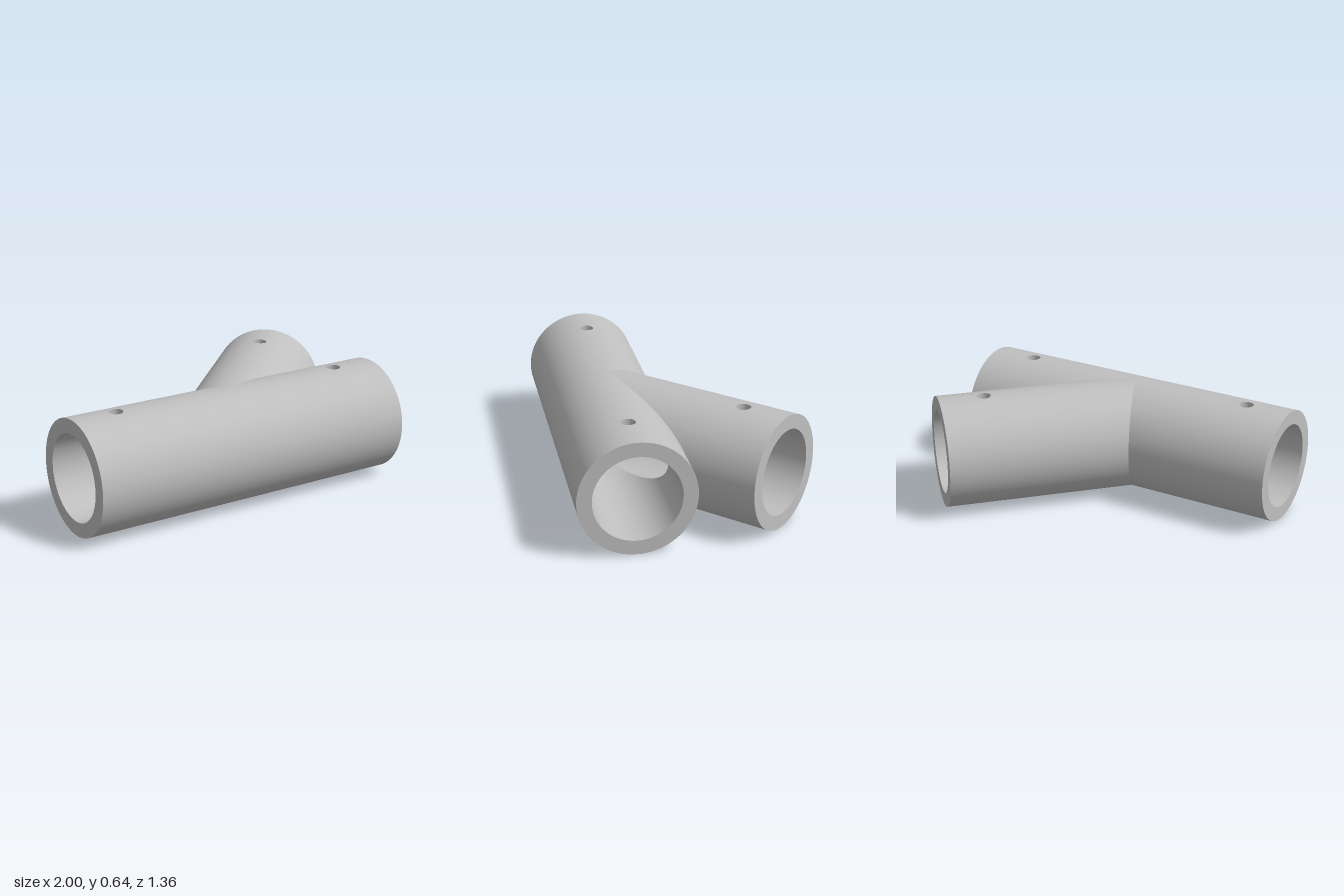
import * as THREE from 'three';

const R = 0.318, BORE = 0.238, HOLE = 0.04;      // outer, inner and screw-hole radii
const N = 128, STEP = 2 * Math.PI / N, PATCH = 4; // sides; half-width of the patch round a hole
const PAD = PATCH * STEP * R;
const OBTUSE = Math.tan(Math.PI / 8), ACUTE = 1 / OBTUSE; // mitre slopes for a 45 degree branch

// Collects triangles, turning each one to face along its given normals
class Surface {
  pos = [];
  nor = [];
  tri(...v) {
    const [a, b, c] = v.map((q) => q.p);
    const face = b.clone().sub(a).cross(c.clone().sub(a));
    if (face.lengthSq() < 1e-16) return;
    if (face.dot(v[0].n) + face.dot(v[1].n) + face.dot(v[2].n) < 0) v.reverse();
    for (const q of v) {
      this.pos.push(...q.p.toArray());
      this.nor.push(...q.n.toArray());
    }
  }
  quad(a, b, c, d) {
    this.tri(a, b, c);
    this.tri(a, c, d);
  }
  geometry() {
    const g = new THREE.BufferGeometry();
    g.setAttribute('position', new THREE.Float32BufferAttribute(this.pos, 3));
    g.setAttribute('normal', new THREE.Float32BufferAttribute(this.nor, 3));
    return g;
  }
}

// Point on a cylinder along x; angle 0 is the top, positive towards +z
function onTube(r, angle, s) {
  const n = new THREE.Vector3(0, Math.cos(angle), Math.sin(angle));
  const p = n.clone().multiplyScalar(r).setX(s);
  return { p, n: r === BORE ? n.negate() : n };
}

// Wall between two trim rules start(z) and end(z), leaving gaps for the hole patches
function wall(surf, r, i0, i1, start, end, holes) {
  for (let i = i0; i < i1; i++) {
    const t0 = i * STEP, t1 = (i + 1) * STEP;
    const z0 = r * Math.sin(t0), z1 = r * Math.sin(t1);
    let a0 = start(z0), a1 = start(z1);
    const strip = (b0, b1) => surf.quad(
      onTube(r, t0, a0), onTube(r, t0, b0), onTube(r, t1, b1), onTube(r, t1, a1));
    if (i >= -PATCH && i < PATCH) {
      for (const h of holes) {
        if (h < a0 || h > end(z0)) continue;
        strip(h - PAD, h - PAD);
        a0 = a1 = h + PAD;
      }
    }
    strip(end(z0), end(z1));
  }
}

// Round screw hole: square-to-circle patch on both skins, and the wall of the hole
function screwHole(surf, h) {
  const count = 8 * PATCH;
  const side = (t) => THREE.MathUtils.clamp((Math.abs((t % 4) - 2) - 1) * 2, -1, 1);
  const rim = (r, k) => {
    const f = k / count * 2 * Math.PI;
    return onTube(r, Math.asin(HOLE * Math.cos(f) / r), h + HOLE * Math.sin(f));
  };
  const square = (r, k) => {
    const t = k / count * 4;
    return onTube(r, side(t) * PATCH * STEP, h + side(t + 3) * PAD);
  };
  const inward = (r, k) => {
    const f = k / count * 2 * Math.PI;
    return { p: rim(r, k).p, n: new THREE.Vector3(-Math.sin(f), 0, -Math.cos(f)) };
  };
  for (let k = 0; k < count; k++) {
    for (const r of [R, BORE]) surf.quad(rim(r, k), square(r, k), square(r, k + 1), rim(r, k + 1));
    surf.quad(inward(BORE, k), inward(R, k), inward(R, k + 1), inward(BORE, k + 1));
  }
}

// Flat ring closing the wall thickness at a tube end
function endRing(surf, s, dir) {
  const n = new THREE.Vector3(dir, 0, 0);
  const at = (r, i) => ({ p: onTube(r, i * STEP, s).p, n });
  for (let i = 0; i < N; i++) surf.quad(at(BORE, i), at(R, i), at(R, i + 1), at(BORE, i + 1));
}

export function createModel() {
  const metal = new THREE.MeshStandardMaterial({ color: 0xbfbfbf });
  metal.name = 'grey metal';
  const model = new THREE.Group();
  model.name = 'angledPipeFitting';
  const joint = new THREE.Vector3(-0.04, R, 0.36); // where the two axes cross

  // Through tube, its back half opened where the branch joins
  const main = new Surface();
  const left = -0.96, right = 0.96, mainHoles = [-0.705, 0.7];
  for (const r of [R, BORE]) {
    wall(main, r, 0, N / 2, () => left, () => right, mainHoles);
    wall(main, r, -N / 2, 0, () => left, (z) => OBTUSE * z, mainHoles);
    wall(main, r, -N / 2, 0, (z) => -ACUTE * z, () => right, mainHoles);
  }
  mainHoles.forEach((h) => screwHole(main, h));
  endRing(main, left, -1);
  endRing(main, right, 1);

  // Branch tube, mitred on to the through tube
  const branch = new Surface();
  const length = 1.153, branchHole = 0.895;
  const mitre = (z) => (z > 0 ? ACUTE * z : -OBTUSE * z);
  for (const r of [R, BORE]) wall(branch, r, -N / 2, N / 2, mitre, () => length, [branchHole]);
  screwHole(branch, branchHole);
  endRing(branch, length, 1);

  for (const [name, surf, turn] of [['throughTube', main, 0], ['branchTube', branch, Math.PI / 4]]) {
    const mesh = new THREE.Mesh(surf.geometry(), metal);
    mesh.name = name;
    mesh.position.copy(joint);
    mesh.rotation.y = turn;
    model.add(mesh);
  }
  return model;
}
